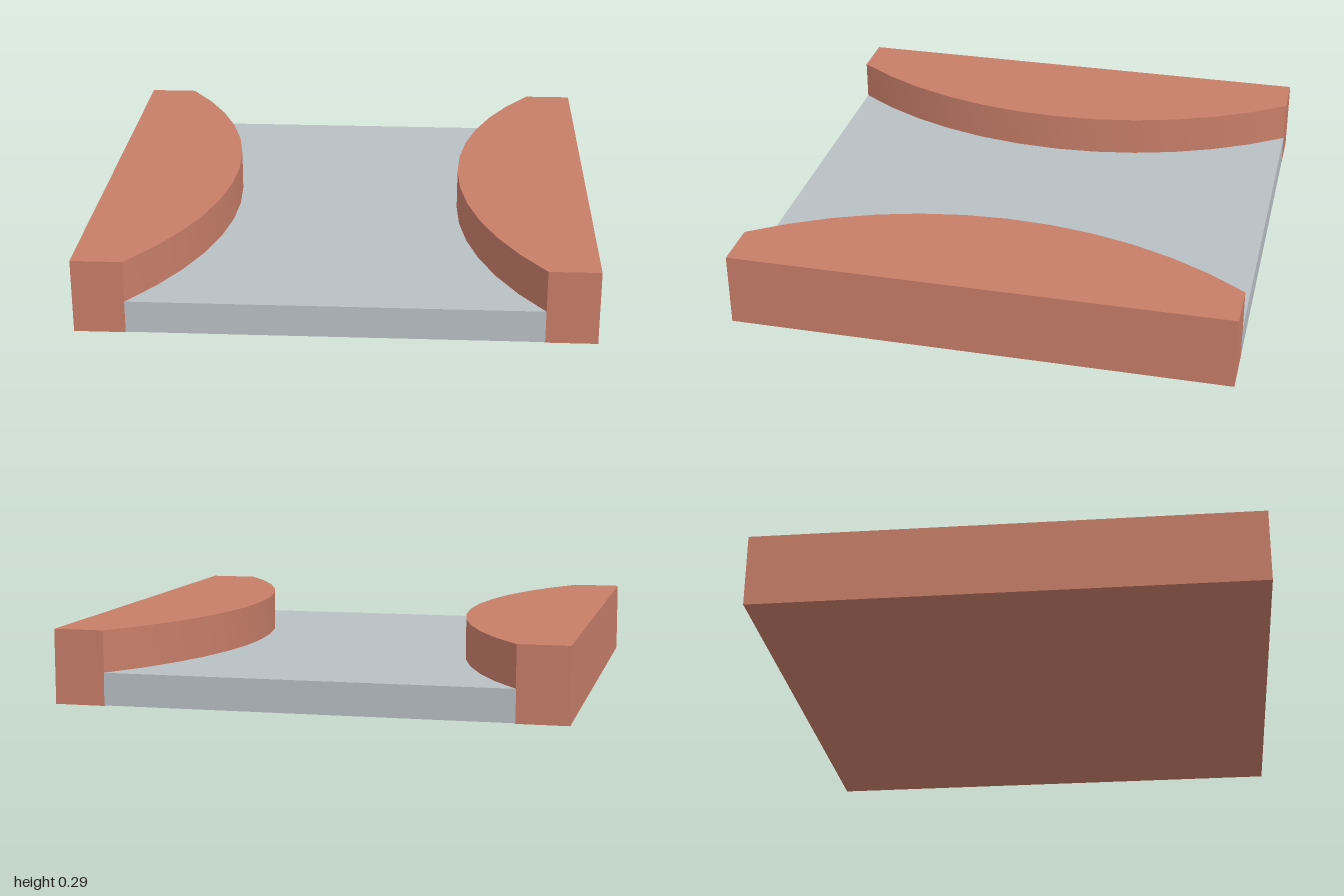
import * as THREE from 'three';
import { toCreasedNormals } from 'three/addons/utils/BufferGeometryUtils.js';

const WALL_H = 0.295, FLOOR_H = 0.13, BASE = 0.002;

export function createModel() {
  const group = new THREE.Group();
  const clay = new THREE.MeshStandardMaterial({ color: 0xc87e69 });
  const grey = new THREE.MeshStandardMaterial({ color: 0xb9c0c4 });

  const add = (name, geometry, material) => {
    const mesh = new THREE.Mesh(geometry, material);
    mesh.name = name;
    group.add(mesh);
    return mesh;
  };

  // Bank outline: straight outer side, inner side bulging along a 12-segment arc
  const radius = 5 / 3, centreX = 0.8 + 4 / 3, half = Math.asin(0.6), steps = 12;
  const outline = [new THREE.Vector2(1, 1)];
  for (let i = 0; i <= steps; i++) {
    const a = half - (2 * half * i) / steps;
    outline.push(new THREE.Vector2(centreX - radius * Math.cos(a), radius * Math.sin(a)));
  }
  outline.push(new THREE.Vector2(1, -1));

  // Two matching banks, the second turned half way round
  const bank = toCreasedNormals(
    new THREE.ExtrudeGeometry(new THREE.Shape(outline), { depth: WALL_H, bevelEnabled: false })
      .rotateX(-Math.PI / 2), 0.4);
  add('leftBank', bank, clay);
  add('rightBank', bank, clay).rotation.y = Math.PI;

  // Floor slab between the banks, its sides buried inside them
  add('floor', new THREE.BoxGeometry(1.6, FLOOR_H - BASE, 2)
    .translate(0, (FLOOR_H + BASE) / 2, 0), grey);

  // Underside sheet joining the banks below the floor
  add('underside', new THREE.PlaneGeometry(1.6, 2).rotateX(Math.PI / 2), clay);

  return group;
}
